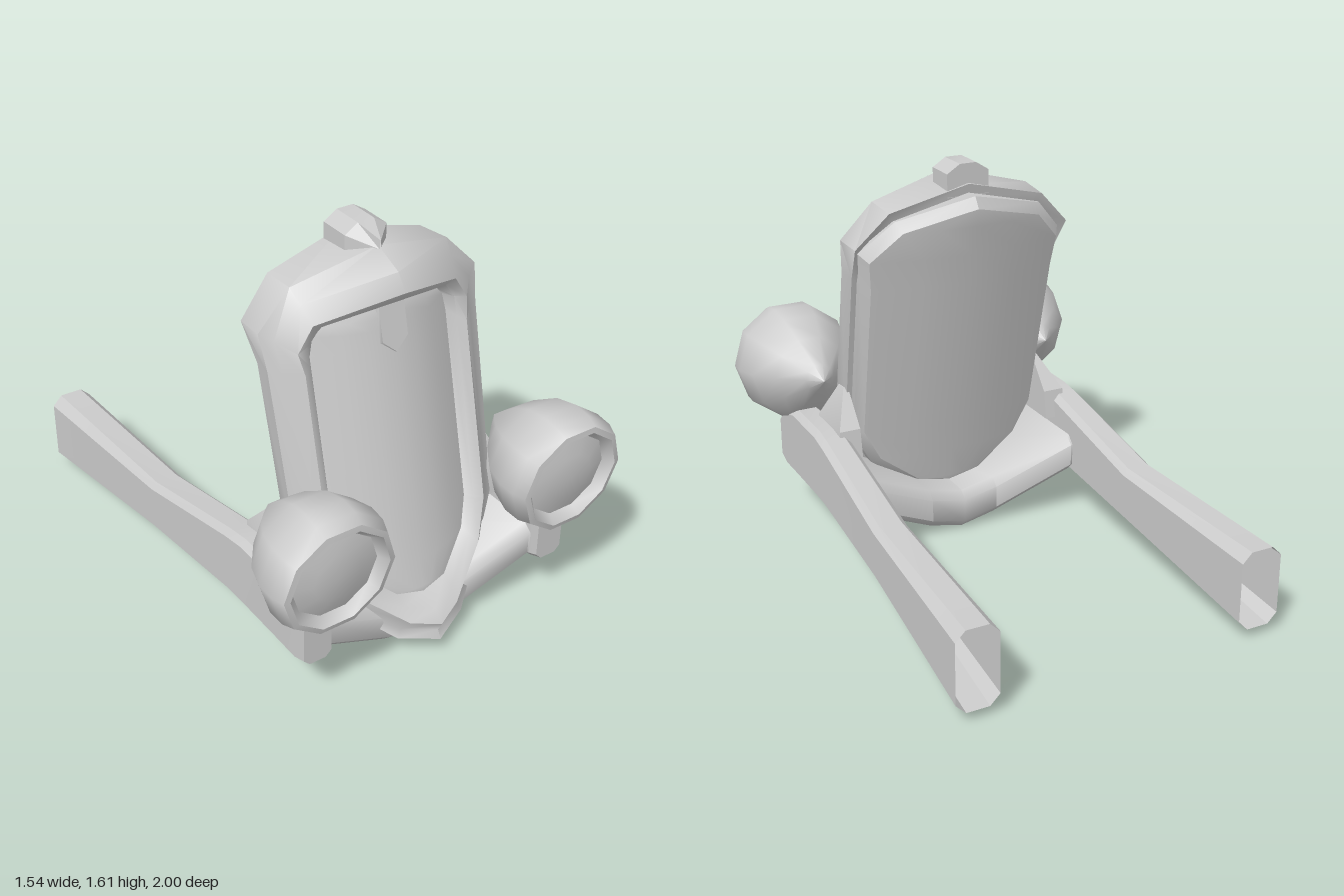
import * as THREE from 'three';
import { toCreasedNormals } from 'three/addons/utils/BufferGeometryUtils.js';

const material = new THREE.MeshStandardMaterial({ color: 0xcccccc, side: THREE.DoubleSide });

function addMesh(parent, name, geometry, crease = 0.75) {
  const mesh = new THREE.Mesh(toCreasedNormals(geometry, crease), material);
  mesh.name = name;
  parent.add(mesh);
  return mesh;
}

// Skin a list of closed rings that all have the same number of points
function loft(rings) {
  const n = rings[0].length;
  const index = [];
  for (let i = 0; i < rings.length - 1; i++) {
    for (let j = 0; j < n; j++) {
      const k = (j + 1) % n;
      const a = i * n + j, b = i * n + k, c = b + n, d = a + n;
      index.push(a, b, c, a, c, d);
    }
  }
  const geometry = new THREE.BufferGeometry();
  geometry.setAttribute('position', new THREE.Float32BufferAttribute(rings.flat(2), 3));
  geometry.setIndex(index);
  return geometry;
}

// Ring shrunk to its middle, to close the end of a loft
function collapse(ring) {
  const mid = [0, 1, 2].map((k) => ring.reduce((s, p) => s + p[k], 0) / ring.length);
  return ring.map(() => mid);
}

// Rectangle with cut corners, counter-clockwise
function chamfered(u0, u1, v0, v1, c) {
  return [[u0 + c, v0], [u1 - c, v0], [u1, v0 + c], [u1, v1 - c],
    [u1 - c, v1], [u0 + c, v1], [u0, v1 - c], [u0, v0 + c]];
}

// Half outlines of the grille, bottom to top
const outer = [[0, 0.075], [0.15, 0.1], [0.36, 0.26], [0.445, 0.42], [0.46, 1.18], [0.475, 1.32], [0.34, 1.46], [0, 1.545]];
const ridge = [[0, 0.15], [0.11, 0.17], [0.29, 0.31], [0.355, 0.46], [0.355, 1.17], [0.37, 1.25], [0.31, 1.345], [0, 1.43]];
const inner = [[0, 0.23], [0.11, 0.25], [0.25, 0.36], [0.3, 0.46], [0.3, 1.2], [0.285, 1.27], [0.25, 1.31], [0, 1.37]];

const scaled = (half, s) => half.map(([x, y]) => [x * s, 0.8 + (y - 0.8) * s]);
const narrowed = (half, s) => half.map(([x, y]) => [x * s, y]);
const blend = (a, b, t) => a.map(([x, y], i) => [x + (b[i][0] - x) * t, y + (b[i][1] - y) * t]);
const lean = (y) => 0.234 * (1.44 - y);

// Mirror a half outline into a ring that leans back; depth(x, y) is its offset in z
function leaningRing(half, depth) {
  const right = half.map(([x, y]) => [x, y, depth(x, y) + lean(y)]);
  const left = right.slice(1, -1).reverse().map(([x, y, z]) => [-x, y, z]);
  return [...right, ...left];
}

function buildGrille(parent) {
  const ridgeDepth = (x) => 0.6 - 0.15 * x / 0.36;
  const innerDepth = (x) => 0.5 - 0.1 * (x / 0.3) ** 2;
  const backDepth = (x, y) => (y > 1.3 ? 0.24 : 0.29);
  const sideDepth = (x, y) => (y < 0.2 ? ridgeDepth(x) - 0.02 : 0.37 + 0.09 * (1 - x / 0.475));

  addMesh(parent, 'grilleShell', loft([
    leaningRing(scaled(outer, 0.9), backDepth),
    leaningRing(scaled(outer, 0.98), backDepth),
    leaningRing(outer, sideDepth),
    leaningRing(blend(outer, ridge, 0.45), (x) => ridgeDepth(x) - 0.03),
    leaningRing(ridge, ridgeDepth),
    leaningRing(blend(ridge, inner, 0.6), (x) => ridgeDepth(x) - 0.03),
    leaningRing(inner, innerDepth),
  ]), 0.9);

  addMesh(parent, 'grillePanel', loft([1, 0.66, 0.33, 0].map(
    (s) => leaningRing(narrowed(inner, s), innerDepth))));

  const bulge = (x) => 0.14 + 0.07 * (x / 0.4) ** 2;
  const back = scaled(outer, 0.87);
  addMesh(parent, 'backPanel', loft([
    ...[0, 0.5, 1].map((s) => leaningRing(narrowed(back, s), bulge)),
    leaningRing(scaled(outer, 0.93), (x) => bulge(x) + 0.04),
    leaningRing(scaled(outer, 0.93), () => 0.32),
  ]), 0.5);

  // Pointed badge hanging below the brow
  const shape = new THREE.Shape([[-0.055, 0.1], [-0.055, -0.06], [0, -0.11], [0.055, -0.06], [0.055, 0.1]]
    .map(([x, y]) => new THREE.Vector2(x, y)));
  const badge = addMesh(parent, 'badge', new THREE.ExtrudeGeometry(shape,
    { depth: 0.07, bevelEnabled: true, bevelSize: 0.006, bevelThickness: 0.012, bevelSegments: 1 }));
  badge.position.set(0, 1.265, 0.46);
  badge.rotation.x = -0.23;

  // Ridged cap on top with a pointed nose
  const section = [[-0.09, 1.48], [0.09, 1.48], [0.09, 1.575], [0.035, 1.61], [-0.035, 1.61], [-0.09, 1.575]];
  const capRing = (z, s, drop) => section.map(([x, y]) => [x * s, y > 1.5 ? y - drop : y, z]);
  const rear = capRing(0.23, 1, 0);
  addMesh(parent, 'topCap', loft([collapse(rear), rear, capRing(0.36, 1, 0), capRing(0.45, 0.04, 0.04)]), 0.5);
}

function buildSide(parent, name, mirror) {
  const side = new THREE.Group();
  side.name = name;
  side.scale.x = mirror;
  parent.add(side);

  // Frame rail: z, inner x, outer x, bottom, top; open at the rear
  const stations = [
    [-1, 0.5, 0.672, 0.04, 0.365], [-0.2, 0.482, 0.622, 0.145, 0.375], [0.35, 0.475, 0.605, 0.2, 0.495],
    [0.45, 0.475, 0.602, 0.2, 0.51], [0.7, 0.475, 0.6, 0.2, 0.51], [0.81, 0.475, 0.6, 0.2, 0.485],
    [0.87, 0.48, 0.598, 0.22, 0.43],
  ];
  const rail = stations.map(([z, x0, x1, y0, y1]) =>
    chamfered(x0, x1, y0, y1, z < -0.5 ? 0.04 : 0.025).map(([x, y]) => [x, y, z]));
  addMesh(side, 'frameRail', loft([...rail, collapse(rail[rail.length - 1])]), 0.5);

  // Tapered bracket between rail and shell; rings run downwards
  const bracket = [[0.66, 0.43, 0.45, 0.49, 0.54], [0.52, 0.43, 0.52, 0.37, 0.6], [0.4, 0.43, 0.52, 0.35, 0.62]]
    .map(([y, x0, x1, z0, z1]) => [[x0, y, z0], [x1, y, z0], [x1, y, z1], [x0, y, z1]]);
  addMesh(side, 'lampBracket', loft([collapse(bracket[0]), ...bracket]), 0.5);

  // Ten-sided headlight, axis along z
  const lamp = new THREE.Group();
  lamp.name = 'headlight';
  lamp.position.set(0.52, 0.69, 0.52);
  lamp.rotation.x = 0.07;
  side.add(lamp);
  const lathe = (pts) => new THREE.LatheGeometry(
    pts.map(([r, y]) => new THREE.Vector2(r, y)), 10, Math.PI / 2).rotateX(Math.PI / 2);
  addMesh(lamp, 'headlightShell', lathe([[0, 0], [0.06, 0.055], [0.155, 0.15], [0.225, 0.25], [0.25, 0.34],
    [0.247, 0.41], [0.228, 0.46], [0.205, 0.465], [0.175, 0.425]]), 0.8);
  addMesh(lamp, 'headlightLens', lathe([[0.178, 0.425], [0.1, 0.445], [0, 0.452]]));
}

export function createModel() {
  const model = new THREE.Group();
  model.name = 'carFrontEnd';
  buildGrille(model);
  buildSide(model, 'leftSide', 1);
  buildSide(model, 'rightSide', -1);

  // Dropped crossmember between the rails: x, bottom, top, rear z, front z
  const stations = [[0.52, 0.22, 0.38, 0.2, 0.84], [0.47, 0.2, 0.36, 0.2, 0.83],
    [0.15, 0.035, 0.2, 0.28, 0.78], [0, 0.002, 0.17, 0.28, 0.78]];
  const all = [...stations.slice(0, 3).map(([x, ...r]) => [-x, ...r]), ...stations.slice().reverse()];
  addMesh(model, 'crossmember', loft(all.map(([x, y0, y1, z0, z1]) =>
    chamfered(y0, y1, z0, z1, 0.035).map(([y, z]) => [x, y, z]))), 0.85);
  return model;
}
